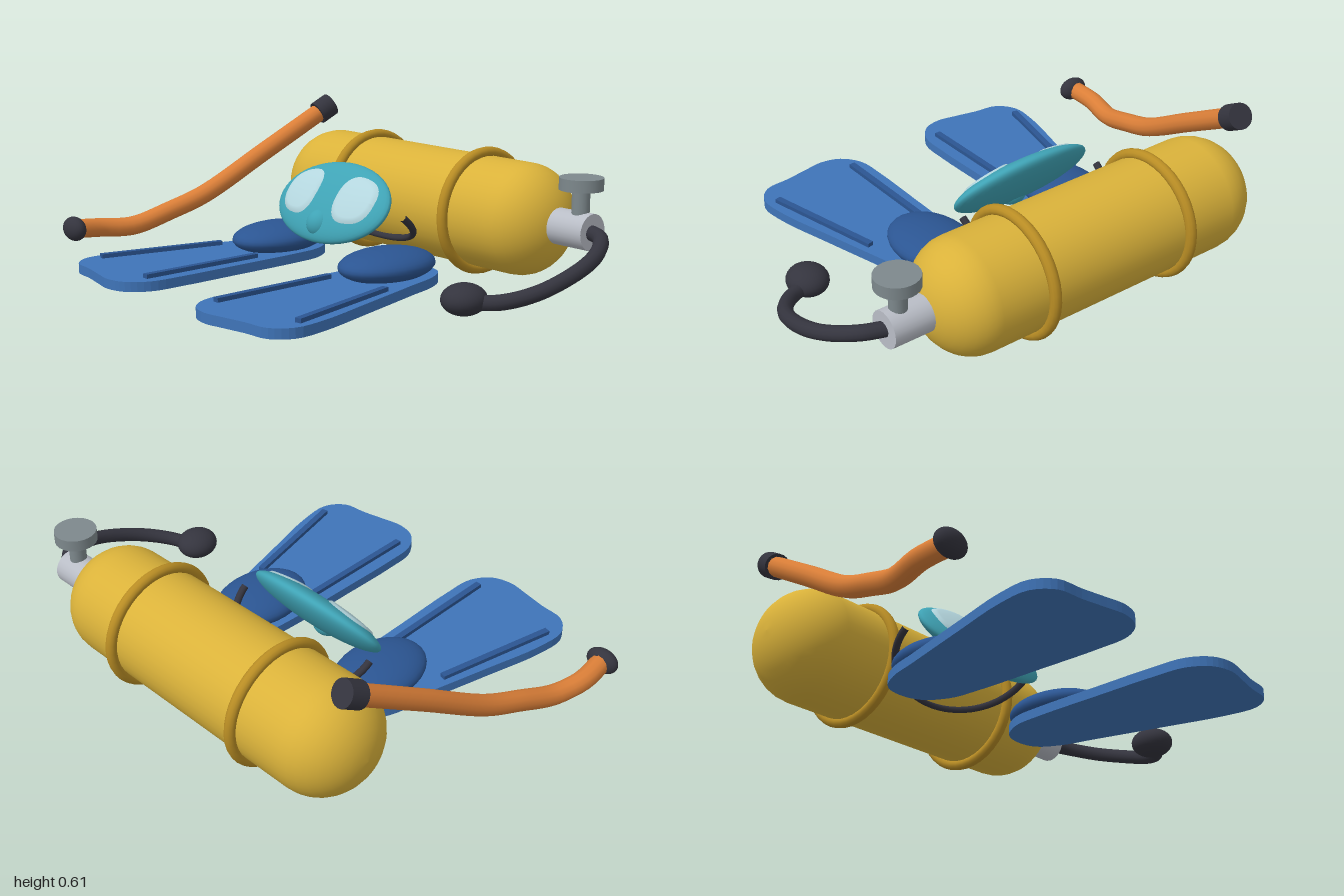
import * as THREE from 'three';

const mat = (name, color, side = THREE.FrontSide) => {
  const m = new THREE.MeshStandardMaterial({ color, side });
  m.name = name;
  return m;
};
const V = (p) => new THREE.Vector3(...p);

export function createModel() {
  const gold = mat('tank gold', 0xdab23a);
  const brass = mat('band brass', 0xb98d24);
  const orange = mat('snorkel orange', 0xdb7f38);
  const blue = mat('fin blue', 0x3f74b8);
  const navy = mat('pocket blue', 0x2b5592);
  const teal = mat('mask teal', 0x3fa3b5);
  const glass = mat('lens glass', 0xb4d6de, THREE.DoubleSide);
  const silver = mat('valve silver', 0xb9bdc6);
  const grey = mat('knob grey', 0x7d888c);
  const black = mat('rubber black', 0x34343e);

  const root = new THREE.Group();
  root.name = 'divingGear';
  const group = (name) => {
    const g = new THREE.Group();
    g.name = name;
    root.add(g);
    return g;
  };
  const add = (parent, name, geo, material, pos = [0, 0, 0]) => {
    const m = new THREE.Mesh(geo, material);
    m.name = name;
    m.position.set(...pos);
    parent.add(m);
    return m;
  };
  const ball = (rx, ry, rz) => new THREE.SphereGeometry(1, 28, 18).scale(rx, ry, rz);
  const tube = (pts, r, segs = 40) =>
    new THREE.TubeGeometry(new THREE.CatmullRomCurve3(pts.map(V), false, 'centripetal'), segs, r, 12);

  // Tank: lathe with rounded ends, lying along x
  const tank = group('tank');
  tank.position.set(0, 0.25, -0.53);
  const profile = [];
  const steps = 9;
  for (let i = 0; i <= steps; i++) {
    const a = (i / steps) * Math.PI / 2;
    profile.push(new THREE.Vector2(0.22 * Math.sin(a), -0.565 - 0.2 * Math.cos(a)));
  }
  for (let i = 0; i <= steps; i++) {
    const a = (i / steps) * Math.PI / 2;
    profile.push(new THREE.Vector2(0.214 * Math.cos(a), 0.485 + 0.18 * Math.sin(a)));
  }
  add(tank, 'tankBody', new THREE.LatheGeometry(profile, 40).rotateZ(-Math.PI / 2), gold);
  for (const x of [-0.345, 0.28])
    add(tank, 'tankBand', new THREE.TorusGeometry(0.228, 0.021, 12, 40).rotateY(Math.PI / 2), brass, [x, 0, 0]);

  // Valve with hand wheel
  const valve = group('valve');
  valve.position.set(0.755, 0.25, -0.53);
  add(valve, 'valveBody', new THREE.CylinderGeometry(0.068, 0.068, 0.165, 24).rotateZ(Math.PI / 2), silver, [-0.025, 0, 0]);
  add(valve, 'valveStem', new THREE.CylinderGeometry(0.033, 0.033, 0.12, 16), grey, [0, 0.1, 0]);
  add(valve, 'valveKnob', new THREE.CylinderGeometry(0.081, 0.081, 0.045, 24), grey, [0, 0.172, 0]);

  // Air hose and mouthpiece
  const regulator = group('regulator');
  add(regulator, 'hose', tube([
    [0.8, 0.25, -0.53], [0.88, 0.245, -0.49], [0.945, 0.215, -0.39], [0.968, 0.18, -0.27],
    [0.935, 0.125, -0.1], [0.86, 0.095, 0.0], [0.76, 0.085, 0.05],
  ], 0.028), black);
  add(regulator, 'mouthpiece', ball(0.078, 0.056, 0.084), black, [0.75, 0.095, 0.062]);

  // Snorkel with end caps
  const snorkel = group('snorkel');
  const top = [-0.722, 0.545, -0.575];
  add(snorkel, 'snorkelTube', tube([
    top, [-0.782, 0.38, -0.29], [-0.842, 0.218, -0.01], [-0.875, 0.16, 0.15], [-0.905, 0.118, 0.28],
    [-0.92, 0.112, 0.34], [-0.942, 0.12, 0.44], [-0.936, 0.132, 0.56],
  ], 0.039), orange);
  const topCap = add(snorkel, 'snorkelTopCap', new THREE.CylinderGeometry(0.05, 0.05, 0.075, 20), black, top);
  topCap.quaternion.setFromUnitVectors(V([0, 1, 0]), V([0.06, 0.165, -0.285]).normalize());
  add(snorkel, 'snorkelMouthpiece', ball(0.065, 0.049, 0.038), black, [-0.935, 0.133, 0.565]);

  // Fins, mirrored about x = -0.05; outline as [distance from mirror line, z]
  const outline = [
    [0.32, -0.235], [0.4, -0.215], [0.455, -0.13], [0.49, 0], [0.57, 0.3], [0.628, 0.53], [0.635, 0.66],
    [0.58, 0.73], [0.48, 0.745], [0.38, 0.765], [0.3, 0.778], [0.22, 0.755], [0.165, 0.68],
    [0.155, 0.55], [0.158, 0.3], [0.165, 0], [0.18, -0.12], [0.24, -0.21],
  ];
  for (const s of [1, -1]) {
    const fin = group(s > 0 ? 'leftFin' : 'rightFin');
    fin.position.x = -0.05;
    const loop = new THREE.CatmullRomCurve3(outline.map(([u, z]) => V([s * u, -z, 0])), true);
    const shape = new THREE.Shape(loop.getPoints(72).slice(0, -1).map((p) => new THREE.Vector2(p.x, p.y)));
    add(fin, 'finBlade',
      new THREE.ExtrudeGeometry(shape, { depth: 0.037, bevelEnabled: false }).rotateX(-Math.PI / 2), blue, [0, 0.036, 0]);
    add(fin, 'footPocket', ball(0.147, 0.062, 0.205), navy, [s * 0.317, 0.113, -0.033]);
    // Stiffening ribs
    for (const [u0, z0, u1, z1] of [[0.217, 0.16, 0.217, 0.67], [0.484, 0.13, 0.597, 0.62]]) {
      const rib = add(fin, 'finRib', new THREE.BoxGeometry(0.025, 0.024, Math.hypot(u1 - u0, z1 - z0)), navy,
        [s * (u0 + u1) / 2, 0.077, (z0 + z1) / 2]);
      rib.rotation.y = s * Math.atan2(u1 - u0, z1 - z0);
    }
  }

  // Mask, leaning back
  const mask = group('mask');
  mask.position.set(-0.105, 0.28, -0.095);
  mask.rotation.x = -0.64;
  const [mx, my, mz] = [0.305, 0.175, 0.052];
  add(mask, 'maskBody', new THREE.SphereGeometry(1, 40, 24).scale(mx, my, mz), teal);
  add(mask, 'maskNose', ball(0.06, 0.06, 0.06), teal, [0, -0.097, 0.002]);
  // Lenses: rounded patches following the curve of the mask
  for (const s of [1, -1]) {
    const geo = new THREE.RingGeometry(0, 1, 40, 8);
    const p = geo.attributes.position;
    for (let i = 0; i < p.count; i++) {
      const r = Math.hypot(p.getX(i), p.getY(i));
      const a = Math.atan2(p.getY(i), p.getX(i));
      const round = (c) => Math.sign(c) * Math.abs(c) ** 0.8 * r;
      const u = round(Math.cos(a));
      const x = s * 0.153 + 0.1 * u;
      const y = 0.012 + round(Math.sin(a)) * (0.104 - 0.012 * s * u);
      const z = mz * Math.sqrt(Math.max(0, 1 - (x / mx) ** 2 - (y / my) ** 2));
      p.setXYZ(i, x, y, z + (r > 0.99 ? -0.003 : 0.006));
    }
    geo.computeVertexNormals();
    add(mask, 'maskLens', geo, glass);
  }
  // Head strap looping behind
  add(mask, 'maskStrap', new THREE.TorusGeometry(0.322, 0.014, 10, 40, Math.PI)
    .rotateX(-Math.PI / 2).scale(1, 1, 0.76), black, [0, 0.022, -0.062]);

  return root;
}
